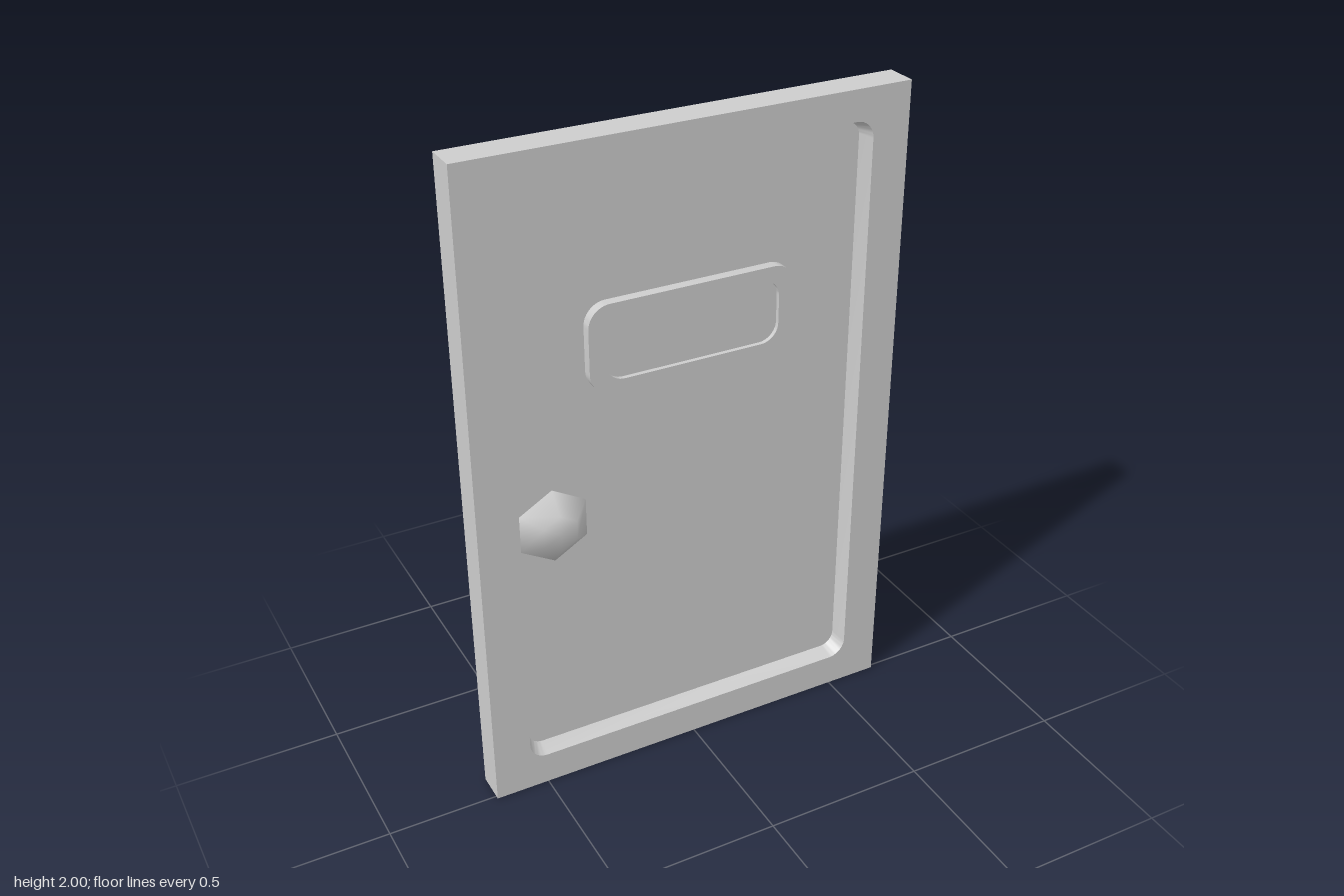
import * as THREE from 'three';
import { mergeVertices, toCreasedNormals } from 'three/addons/utils/BufferGeometryUtils.js';

const FRONT = 0.011, BACK = -0.087, FLOOR = -0.037;
const metal = new THREE.MeshStandardMaterial({ color: 0xcccccc });
metal.name = 'greyMetal';

// Rounded rectangle between two corners, with corner radius r
function roundedRect(x0, y0, x1, y1, r, Type = THREE.Shape) {
  const s = new Type();
  s.absarc(x1 - r, y1 - r, r, 0, Math.PI / 2);
  s.absarc(x0 + r, y1 - r, r, Math.PI / 2, Math.PI);
  s.absarc(x0 + r, y0 + r, r, Math.PI, Math.PI * 1.5);
  s.absarc(x1 - r, y0 + r, r, Math.PI * 1.5, Math.PI * 2);
  s.closePath();
  return s;
}

// Inward-facing sloped wall joining a front outline to a deeper outline
function slopedWall(front, zFront, deep, zDeep) {
  const a = front.getPoints(6), b = deep.getPoints(6);
  const pos = [];
  for (let i = 0; i < a.length; i++) {
    const j = (i + 1) % a.length;
    const A = [a[i].x, a[i].y, zFront], B = [a[j].x, a[j].y, zFront];
    const C = [b[j].x, b[j].y, zDeep], D = [b[i].x, b[i].y, zDeep];
    pos.push(...A, ...B, ...C, ...A, ...C, ...D);
  }
  const g = new THREE.BufferGeometry();
  g.setAttribute('position', new THREE.Float32BufferAttribute(pos, 3));
  return toCreasedNormals(g, 0.6);
}

// Six-sided turned form, smooth all over including the pole
function smoothKnob(profile) {
  const lathe = new THREE.LatheGeometry(profile.map(([r, z]) => new THREE.Vector2(r, z)), 6);
  lathe.deleteAttribute('normal');
  lathe.deleteAttribute('uv');
  const g = mergeVertices(lathe);
  g.computeVertexNormals();
  return g;
}

export function createModel() {
  const group = new THREE.Group();
  group.name = 'door';
  const add = (name, geometry, x = 0, y = 0, z = 0) => {
    const mesh = new THREE.Mesh(geometry, metal);
    mesh.name = name;
    mesh.position.set(x, y, z);
    group.add(mesh);
    return mesh;
  };

  // Slab: back and four edges, with the front left open
  const slab = new THREE.BoxGeometry(1.332, 2, FRONT - BACK);
  const index = Array.from(slab.index.array);
  index.splice(24, 6);
  slab.setIndex(index);
  slab.clearGroups();
  add('doorSlab', slab, 0, 1, (FRONT + BACK) / 2);

  // Front border around the recess
  const rim = [-0.552, 0.103, 0.552, 1.909, 0.055];
  const floor = roundedRect(-0.537, 0.119, 0.537, 1.895, 0.045);
  const border = new THREE.Shape([
    new THREE.Vector2(-0.666, 0), new THREE.Vector2(0.666, 0),
    new THREE.Vector2(0.666, 2), new THREE.Vector2(-0.666, 2),
  ]);
  border.holes.push(roundedRect(...rim, THREE.Path));
  add('frontBorder', new THREE.ShapeGeometry(border, 6), 0, 0, FRONT);

  // Recessed panel with its sloped wall
  add('recessWall', slopedWall(roundedRect(...rim), FRONT, floor, FLOOR));
  add('recessedPanel', new THREE.ShapeGeometry(floor, 6), 0, 0, FLOOR);

  // Frame around the viewing slot, standing just clear of the panel
  const slotOpening = [-0.267, 1.31, 0.267, 1.502, 0.055];
  const slot = roundedRect(-0.315, 1.278, 0.315, 1.54, 0.065);
  slot.holes.push(roundedRect(...slotOpening, THREE.Path));
  const slotDepth = 0.03;
  const slotGeometry = new THREE.ExtrudeGeometry(slot, {
    depth: slotDepth, bevelEnabled: false, curveSegments: 6,
  });
  add('slotFrame', toCreasedNormals(slotGeometry, 0.6), 0, 0, FRONT - slotDepth);
  add('slotCover', new THREE.ShapeGeometry(roundedRect(...slotOpening), 6), 0, 0, FRONT - 0.013);

  // Six-sided knob
  const knob = add('knob', smoothKnob([
    [0.04, FLOOR], [0.0575, -0.014], [0.115, 0.032], [0.0575, 0.081], [0, 0.089],
  ]), -0.45, 0.92, 0);
  knob.rotation.x = Math.PI / 2;

  return group;
}
